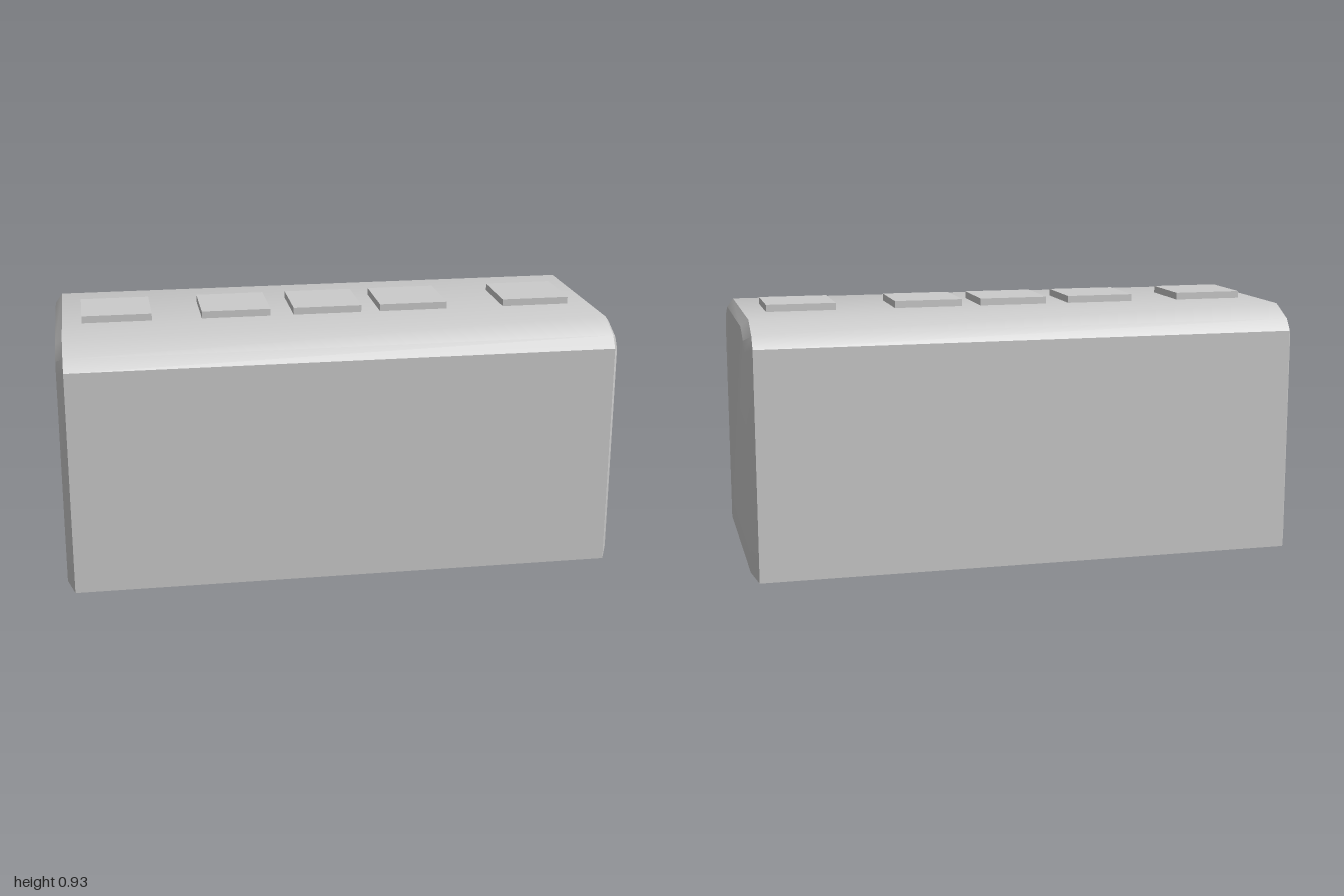
import * as THREE from 'three';
import { toCreasedNormals } from 'three/addons/utils/BufferGeometryUtils.js';

// Mirror half an outline of [z, y] points to a full one, front to back
const mirror = (half) => [...half, ...half.map(([z, y]) => [-z, y]).reverse()];

// Skin cross-sections along x and close both ends
function loft(sections) {
  const n = sections[0].outline.length;
  const positions = sections.flatMap(({ x, outline }) => outline.flatMap(([z, y]) => [x, y, z]));
  const index = [];
  for (let s = 0; s < sections.length - 1; s++) {
    for (let i = 0; i < n; i++) {
      const a = s * n + i, b = s * n + (i + 1) % n;
      index.push(a, a + n, b + n, a, b + n, b);
    }
  }
  const last = (sections.length - 1) * n;
  for (let i = 1; i < n - 1; i++) {
    index.push(0, i, i + 1);
    index.push(last, last + i + 1, last + i);
  }
  const geometry = new THREE.BufferGeometry();
  geometry.setAttribute('position', new THREE.Float32BufferAttribute(positions, 3));
  geometry.setIndex(index);
  return toCreasedNormals(geometry, THREE.MathUtils.degToRad(31));
}

export function createModel() {
  const group = new THREE.Group();
  const material = new THREE.MeshStandardMaterial({ color: 0xcccccc });

  // Body with rounded upper edges and bevelled ends
  const outer = mirror([[0.45, 0], [0.45, 0.815], [0.42, 0.857], [0.325, 0.902]]);
  const inner = mirror([[0.4, 0.027], [0.4, 0.8], [0.375, 0.837], [0.29, 0.875]]);
  const body = new THREE.Mesh(loft([
    { x: -1, outline: inner },
    { x: -0.975, outline: outer },
    { x: 0.975, outline: outer },
    { x: 1, outline: inner },
  ]), material);
  body.name = 'body';
  group.add(body);

  // Row of square buttons on the top
  const buttonGeometry = new THREE.BoxGeometry(0.25, 0.045, 0.25);
  [-0.78, -0.35, -0.015, 0.305, 0.77].forEach((x, i) => {
    const button = new THREE.Mesh(buttonGeometry, material);
    button.name = `button${i + 1}`;
    button.position.set(x, 0.905, 0);
    group.add(button);
  });

  return group;
}
